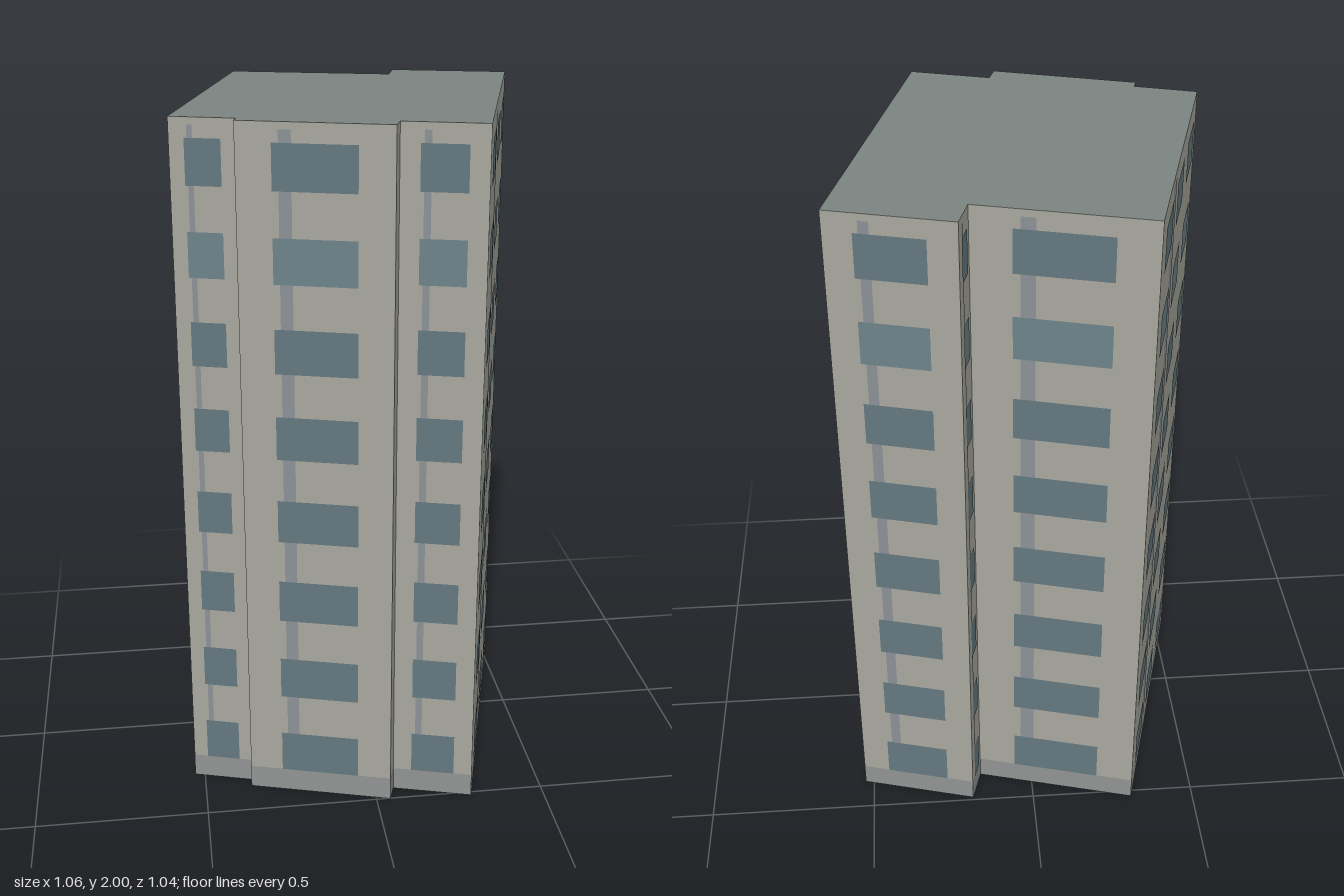
import * as THREE from 'three';

const HEIGHT = 2, FLOORS = 8, FLOOR_HEIGHT = 0.25;
const BASE_HEIGHT = 0.07, WINDOW_HEIGHT = 0.126;

// Plan corners (x, z), listed so each wall runs left to right as seen from outside
const PLAN = [
  [-0.529, 0.294], [-0.355, 0.348], [-0.363, 0.378], [0.041, 0.501], [0.058, 0.448],
  [0.283, 0.515], [0.526, -0.396], [0.189, -0.489], [0.161, -0.393], [-0.307, -0.522],
];

// Window spans as fractions of the wall width
const WIDE_WALL = [[0.082, 0.278], [0.4, 0.594], [0.714, 0.91]];
const NARROW_WALL = [[0.23, 0.77]];

const paint = (color, side = THREE.FrontSide) => new THREE.MeshStandardMaterial({ color, side });

export function createModel() {
  const building = new THREE.Group();
  building.name = 'towerBlock';
  const wallMat = paint(0xa8a89e, THREE.DoubleSide);
  const roofMat = paint(0x7c8481, THREE.DoubleSide);
  const baseMat = paint(0x909492);
  const stripMat = paint(0x8c9196);
  const glassMat = paint(0x64797f);
  const paleGlassMat = paint(0x6d8389);

  // Upright rectangle in a wall's own plane
  function panel(parent, name, mat, x0, x1, y0, y1, z) {
    const mesh = new THREE.Mesh(new THREE.PlaneGeometry(x1 - x0, y1 - y0), mat);
    mesh.position.set((x0 + x1) / 2, (y0 + y1) / 2, z);
    mesh.name = name;
    parent.add(mesh);
  }

  PLAN.forEach(([x, z], i) => {
    const [nx, nz] = PLAN[(i + 1) % PLAN.length];
    const width = Math.hypot(nx - x, nz - z);
    const side = new THREE.Group();
    side.name = 'facade';
    side.position.set(x, 0, z);
    side.rotation.y = Math.atan2(z - nz, nx - x);
    building.add(side);

    panel(side, 'wall', wallMat, 0, width, 0, HEIGHT, 0);
    panel(side, 'baseBand', baseMat, 0, width, 0, BASE_HEIGHT, 0.001);
    if (width < 0.08) return; // small returns stay blank

    panel(side, 'verticalStrip', stripMat, width * 0.272, width * 0.354, BASE_HEIGHT, 1.98, 0.001);
    const spans = width > 0.6 ? WIDE_WALL : NARROW_WALL;
    for (let floor = 0; floor < FLOORS; floor++) {
      const y = BASE_HEIGHT + floor * FLOOR_HEIGHT;
      for (const [a, b] of spans) {
        panel(side, 'window', floor === 6 ? paleGlassMat : glassMat,
          width * a, width * b, y, y + WINDOW_HEIGHT, 0.002);
      }
    }
  });

  // Flat roof over the stepped plan
  const outline = new THREE.Shape(PLAN.map(([x, z]) => new THREE.Vector2(x, -z)));
  const roof = new THREE.Mesh(new THREE.ShapeGeometry(outline), roofMat);
  roof.name = 'roof';
  roof.rotation.x = -Math.PI / 2;
  roof.position.y = HEIGHT;
  building.add(roof);

  return building;
}
